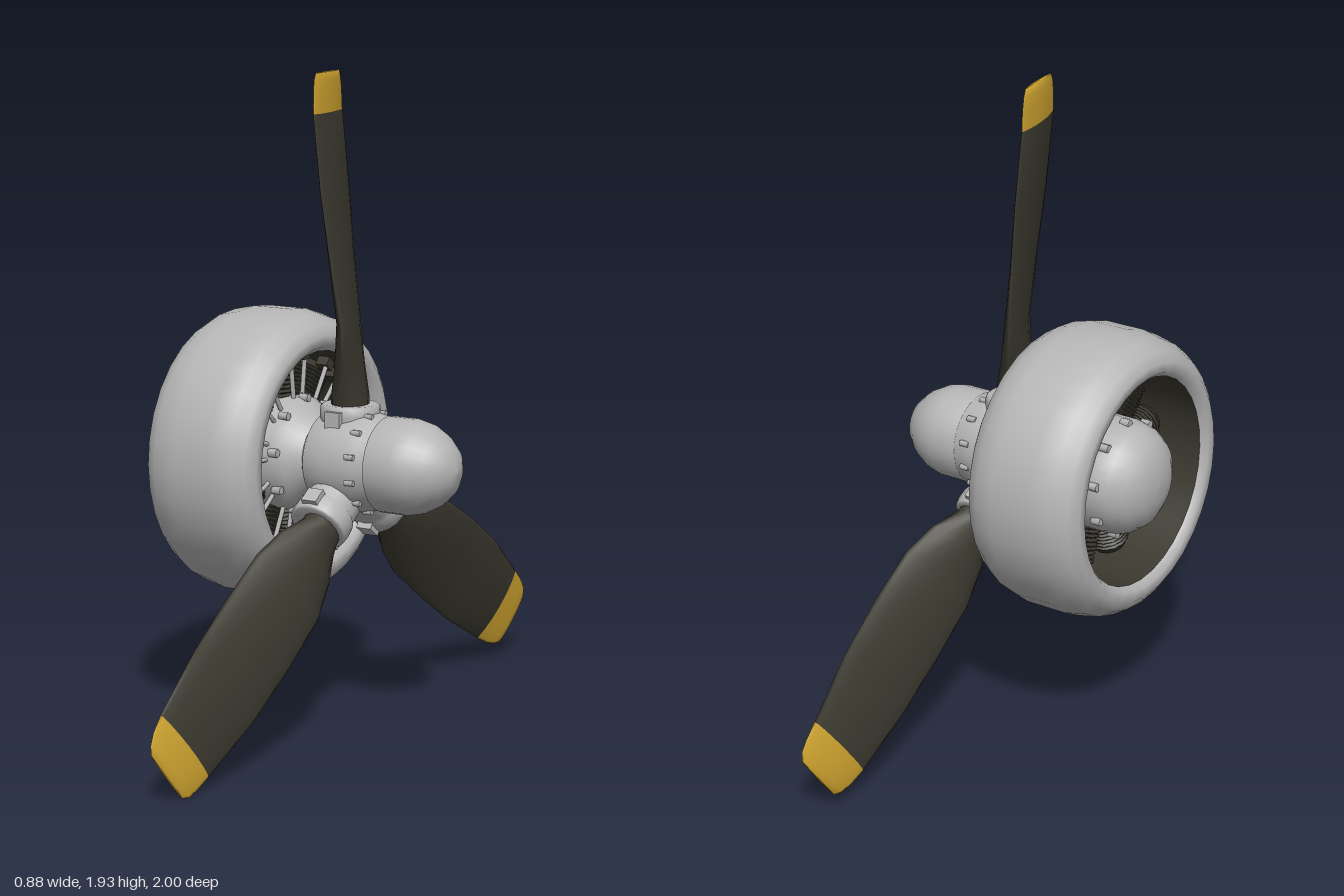
import * as THREE from 'three';

const AXIS_Y = 0.8;      // height of the engine axis
const BLADE_Y = 0.75;    // height where the blade centre lines meet
const HUB_X = 0.07;

const grey = new THREE.MeshStandardMaterial({ color: 0xb6b6b6 });
grey.name = 'bare metal grey';
const dark = new THREE.MeshStandardMaterial({ color: 0x3b392f });
dark.name = 'dark olive';
const yellow = new THREE.MeshStandardMaterial({ color: 0xcda22f });
yellow.name = 'tip yellow';

function add(parent, name, geometry, material) {
  const mesh = new THREE.Mesh(geometry, material);
  mesh.name = name;
  parent.add(mesh);
  return mesh;
}

// Lathe around the x axis; profile points are [x, radius], back to front
function latheX(profile, segments = 28) {
  const points = profile.map(([x, r]) => new THREE.Vector2(r, x));
  return new THREE.LatheGeometry(points, segments).rotateZ(-Math.PI / 2);
}

// Lathe around the y axis; profile points are [radius, y]
function latheY(profile, segments = 16) {
  return new THREE.LatheGeometry(profile.map(([r, y]) => new THREE.Vector2(r, y)), segments);
}

// Blade stations: distance, trailing z, leading z, trailing x, leading x, half thickness
const bladeStations = [
  [0.12, -0.06, 0.06, 0.07, 0.07, 0.058],
  [0.24, -0.063, 0.066, 0.055, 0.085, 0.055],
  [0.34, -0.10, 0.105, 0.025, 0.112, 0.042],
  [0.46, -0.122, 0.128, 0.008, 0.122, 0.032],
  [0.65, -0.125, 0.15, -0.004, 0.098, 0.026],
  [0.85, -0.122, 0.16, -0.015, 0.07, 0.021],
  [1.07, -0.10, 0.145, -0.024, 0.036, 0.016],
];
const tipStations = [
  bladeStations[6],
  [1.13, -0.092, 0.136, -0.021, 0.03, 0.014],
  [1.165, -0.08, 0.126, -0.017, 0.026, 0.012],
  [1.185, -0.065, 0.108, -0.012, 0.02, 0.008],
];

// Loft lens-shaped sections along y; lean shifts x in proportion to distance
function bladeGeometry(stations, lean, sides = 16) {
  const positions = [], index = [];
  for (const [r, z0, z1, x0, x1, t] of stations) {
    const cz = (z0 + z1) / 2, cx = (x0 + x1) / 2 + lean * r;
    const hz = (z1 - z0) / 2, hx = (x1 - x0) / 2;
    const len = Math.hypot(hz, hx);
    for (let j = 0; j < sides; j++) {
      const a = (j / sides) * Math.PI * 2, s = Math.sin(a);
      const h = t * s * (r > 0.3 ? Math.sqrt(Math.abs(s)) : 1);
      positions.push(
        cx + hx * Math.cos(a) + (h * hz) / len,
        r,
        cz + hz * Math.cos(a) - (h * hx) / len,
      );
    }
  }
  const last = (stations.length - 1) * sides;
  for (let k = 0; k < last; k += sides) {
    for (let j = 0; j < sides; j++) {
      const n = (j + 1) % sides;
      index.push(k + j, k + n, k + sides + n, k + j, k + sides + n, k + sides + j);
    }
  }
  for (let j = 1; j < sides - 1; j++) index.push(last, last + j, last + j + 1);
  const geometry = new THREE.BufferGeometry();
  geometry.setAttribute('position', new THREE.Float32BufferAttribute(positions, 3));
  geometry.setIndex(index);
  geometry.computeVertexNormals();
  return geometry;
}

function makePropeller() {
  const propeller = new THREE.Group();
  propeller.name = 'propeller';
  const settings = [
    { angle: 0, lean: 0, scale: 1 },
    { angle: 124.5, lean: 0.063, scale: 0.975 },
    { angle: -124.5, lean: 0.063, scale: 0.97 },
  ];
  for (const { angle, lean, scale } of settings) {
    const arm = new THREE.Group();
    arm.name = 'bladeArm';
    arm.position.y = BLADE_Y;
    arm.rotation.x = THREE.MathUtils.degToRad(angle);
    propeller.add(arm);
    add(arm, 'blade', bladeGeometry(bladeStations, lean), dark).scale.y = scale;
    add(arm, 'bladeTip', bladeGeometry(tipStations, lean), yellow).scale.y = scale;

    // Socket with a raised clamp lip
    const socket = latheY([
      [0.08, -0.02], [0.08, 0.15], [0.088, 0.16], [0.09, 0.19],
      [0.088, 0.212], [0.08, 0.218], [0.05, 0.218],
    ], 20);
    add(arm, 'bladeSocket', socket, grey).position.x = HUB_X;
    for (const side of [-1, 1]) {
      const lug = add(arm, 'clampLug', new THREE.BoxGeometry(0.05, 0.05, 0.025), grey);
      lug.position.set(HUB_X, 0.18, side * 0.088);
    }
  }
  return propeller;
}

function makeEngine() {
  const engine = new THREE.Group();
  engine.name = 'engine';
  engine.position.y = AXIS_Y;

  // Ring cowling: grey skin and dark lining
  add(engine, 'cowling', latheX([
    [-0.38, 0.315], [-0.4, 0.33], [-0.402, 0.36], [-0.38, 0.39], [-0.34, 0.415],
    [-0.27, 0.43], [-0.14, 0.43], [-0.08, 0.415], [-0.04, 0.39],
    [-0.02, 0.36], [-0.022, 0.33], [-0.045, 0.312],
  ], 32), grey);
  add(engine, 'cowlingLining', latheX([[-0.045, 0.312], [-0.38, 0.315]], 32), dark);

  // Crankcase, rear dome and nose case
  add(engine, 'crankcase', latheX([
    [-0.44, 0], [-0.437, 0.045], [-0.425, 0.09], [-0.4, 0.132], [-0.36, 0.16],
    [-0.31, 0.172], [-0.1, 0.172], [-0.07, 0.15], [-0.04, 0.12], [0, 0.1],
  ]), grey);

  // Nine finned cylinders with push rods and rocker boxes
  const fins = [[0.05, 0.15]];
  for (let i = 0; i < 9; i++) {
    const y = 0.165 + i * 0.013;
    fins.push([0.052, y], [0.064, y + 0.003], [0.064, y + 0.007], [0.052, y + 0.01]);
  }
  fins.push([0.05, 0.3], [0, 0.312]);
  const cylinderGeometry = latheY(fins, 14);
  for (let i = 0; i < 9; i++) {
    const unit = new THREE.Group();
    unit.name = 'cylinderUnit';
    unit.rotation.x = (i / 9) * Math.PI * 2;
    engine.add(unit);
    add(unit, 'cylinder', cylinderGeometry, dark).position.x = -0.2;
    for (const side of [-1, 1]) {
      const rod = add(unit, 'pushRod', new THREE.CylinderGeometry(0.007, 0.007, 0.15, 6), grey);
      rod.position.set(-0.115, 0.225, side * 0.03);
      rod.rotation.x = side * 0.12;
      const box = add(unit, 'rockerBox', new THREE.BoxGeometry(0.04, 0.03, 0.035), dark);
      box.position.set(-0.125, 0.293, side * 0.033);
    }
    for (const x of [-0.32, -0.09]) {
      const bolt = add(unit, 'caseBolt', new THREE.CylinderGeometry(0.013, 0.013, 0.03, 6), grey);
      bolt.position.set(x, 0.17, 0);
      bolt.rotation.z = Math.PI / 2;
    }
  }

  // Oil sump under the nose
  const sump = add(engine, 'oilSump', new THREE.CylinderGeometry(0.02, 0.02, 0.16, 10), grey);
  sump.position.set(-0.075, -0.23, 0);
  return engine;
}

function makeHub() {
  const hub = new THREE.Group();
  hub.name = 'hub';
  hub.position.y = AXIS_Y;
  add(hub, 'hubBarrel', latheX([
    [-0.022, 0], [-0.022, 0.12], [-0.01, 0.135], [0.06, 0.15],
    [0.14, 0.15], [0.17, 0.142], [0.21, 0.136],
  ]), grey);
  add(hub, 'spinnerCap', latheX([
    [0.195, 0.13], [0.2, 0.142], [0.285, 0.142], [0.33, 0.132], [0.375, 0.108],
    [0.41, 0.076], [0.43, 0.04], [0.436, 0],
  ]), grey);

  // Bolts around the front flange
  for (let i = 0; i < 12; i++) {
    const a = ((i + 0.5) / 12) * Math.PI * 2;
    const bolt = add(hub, 'flangeBolt', new THREE.CylinderGeometry(0.009, 0.009, 0.03, 6), grey);
    bolt.rotation.z = Math.PI / 2;
    bolt.position.set(0.155, 0.146 * Math.cos(a), 0.146 * Math.sin(a));
  }
  return hub;
}

export function createModel() {
  const model = new THREE.Group();
  model.name = 'radialEngineWithPropeller';
  model.add(makeEngine(), makeHub(), makePropeller());
  return model;
}
